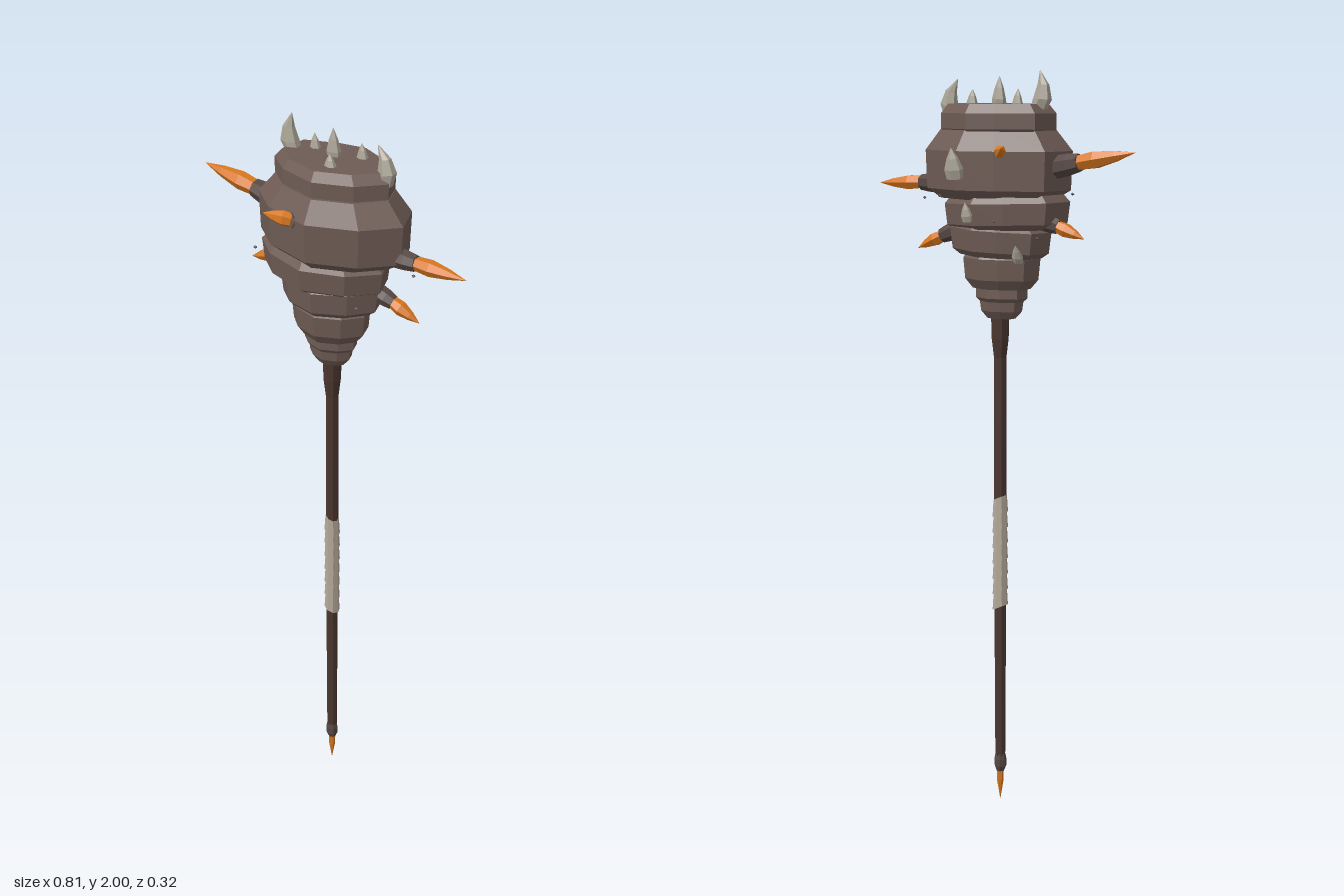
import * as THREE from 'three';

const mat = (name, color) => {
  const m = new THREE.MeshStandardMaterial({ color });
  m.name = name;
  return m;
};

export function createModel() {
  const stone = mat('brown stone', 0x6e5b54);
  const wood = mat('dark wood', 0x4b362f);
  const socketMat = mat('socket brown', 0x574843);
  const orange = mat('orange spike', 0xd9781f);
  const bone = mat('bone', 0xaaa495);
  const cloth = mat('wrap cloth', 0xb3a698);

  const model = new THREE.Group();
  model.name = 'spikedClub';

  // Adds a faceted mesh
  function add(name, geometry, material, parent = model) {
    const g = geometry.index ? geometry.toNonIndexed() : geometry;
    g.computeVertexNormals();
    const mesh = new THREE.Mesh(g, material);
    mesh.name = name;
    parent.add(mesh);
    return mesh;
  }
  const lathe = (pts, sides) =>
    new THREE.LatheGeometry(pts.map(([r, y]) => new THREE.Vector2(r, y)), sides);

  // Irregular nine-sided outline shared by the head's rings
  const outline = [[0.04, 1], [0.64, 0.64], [1, 0.07], [0.83, -0.57], [0.16, -1],
    [-0.33, -0.86], [-0.93, -0.5], [-1, 0.29], [-0.61, 0.75]];

  // Bevelled ring filling the box x0..x1, z0..z1; profile is [scale, y]
  function ring(name, [x0, x1, z0, z1], profile, tilt = 0) {
    const pts = [[0, profile[0][1]], ...profile, [0, profile[profile.length - 1][1]]];
    const g = lathe(pts, outline.length);
    const p = g.attributes.position;
    for (let i = 0; i < p.count; i++) {
      const [s, y] = pts[i % pts.length];
      const [ox, oz] = outline[Math.floor(i / pts.length) % outline.length];
      const x = (x0 + x1) / 2 + (ox * s * (x1 - x0)) / 2;
      p.setXYZ(i, x, y + x * tilt, (z0 + z1) / 2 + (oz * s * (z1 - z0)) / 2);
    }
    return add(name, g, stone);
  }

  // Head, from the collar up
  ring('headCollar', [-0.07, 0.075, -0.045, 0.06],
    [[0.55, 1.355], [0.8, 1.375], [0.85, 1.40], [1, 1.41], [1, 1.435], [0.85, 1.45]]);
  ring('headRing1', [-0.105, 0.11, -0.075, 0.09],
    [[0.75, 1.435], [0.95, 1.46], [1, 1.515], [0.85, 1.535]]);
  ring('headRing2', [-0.135, 0.15, -0.095, 0.11],
    [[0.8, 1.52], [0.95, 1.535], [1, 1.59], [0.82, 1.61]], 0.04);
  ring('headRing3', [-0.185, 0.168, -0.11, 0.135],
    [[0.78, 1.59], [0.96, 1.605], [1, 1.66], [0.84, 1.69]], -0.03);
  ring('headBulge', [-0.19, 0.225, -0.13, 0.15],
    [[0.78, 1.67], [0.98, 1.695], [1, 1.795], [0.78, 1.85]]);
  ring('headCrown', [-0.15, 0.175, -0.105, 0.112],
    [[0.85, 1.83], [1, 1.85], [1, 1.89], [0.87, 1.914]]);

  // Shaft with flared neck
  const shaftX = 0.004, shaftZ = 0.005;
  const shaft = add('shaft', lathe([[0, 0.12], [0.014, 0.12], [0.016, 0.5], [0.017, 0.9],
    [0.017, 1.25], [0.023, 1.3], [0.025, 1.37], [0, 1.37]], 8), wood);
  const ferrule = add('tipSocket', lathe([[0, 0.085], [0.011, 0.085], [0.017, 0.1],
    [0.017, 0.12], [0.014, 0.135], [0, 0.135]], 7), socketMat);
  const point = add('shaftTip', lathe([[0, 0.01], [0.009, 0.065], [0.01, 0.105], [0, 0.11]], 6), orange);
  [shaft, ferrule, point].forEach((m) => m.position.set(shaftX, m === point ? -0.01 : 0, shaftZ));

  // Slanted cloth bands around the grip
  const grip = new THREE.Group();
  grip.name = 'gripWrap';
  model.add(grip);
  for (let i = 0; i < 7; i++) {
    const g = new THREE.CylinderGeometry(0.0185, 0.0215, 0.047, 8);
    const p = g.attributes.position;
    for (let k = 0; k < p.count; k++) p.setY(k, p.getY(k) - p.getX(k) * 0.45);
    add('wrapBand', g, cloth, grip).position.set(shaftX, 0.582 + i * 0.0435, shaftZ);
  }

  // Pointed lathe from a to b, optionally bowed sideways
  function spike(name, a, b, r, material, { bend = 0, flat = 1, sides = 6 } = {}) {
    const from = new THREE.Vector3(...a), dir = new THREE.Vector3(...b).sub(from);
    const len = dir.length();
    const g = lathe([[0, 0], [r * 0.85, 0], [r, len * 0.3], [r * 0.62, len * 0.65], [0, len]], sides);
    const p = g.attributes.position;
    for (let i = 0; i < p.count; i++) {
      const t = p.getY(i) / len;
      p.setX(i, p.getX(i) + bend * 4 * t * (1 - t));
      p.setZ(i, p.getZ(i) * flat);
    }
    const mesh = add(name, g, material);
    mesh.position.copy(from);
    mesh.quaternion.setFromUnitVectors(new THREE.Vector3(0, 1, 0), dir.normalize());
  }

  // Orange side spikes in dark sockets: socket start, spike base, tip, radius
  const spikes = [
    ['rightUpperSpike', [-0.17, 1.755, 0], [-0.24, 1.768, -0.002], [-0.405, 1.797, 0], 0.024],
    ['leftUpperSpike', [0.19, 1.705, 0.005], [0.255, 1.705, 0.007], [0.40, 1.70, 0.005], 0.021],
    ['rightLowerSpike', [-0.14, 1.615, 0], [-0.178, 1.604, 0], [-0.257, 1.575, 0], 0.019],
    ['leftLowerSpike', [0.13, 1.585, -0.01], [0.175, 1.567, -0.015], [0.255, 1.53, -0.018], 0.019],
    ['frontSpike', [-0.01, 1.785, 0.1], [-0.025, 1.788, 0.132], [-0.09, 1.802, 0.163], 0.02],
  ];
  for (const [name, start, base, tip, r] of spikes) {
    const s = new THREE.Vector3(...start), d = new THREE.Vector3(...base).sub(s);
    const len = d.length();
    const socket = add(name + 'Socket',
      lathe([[0, 0], [r * 1.3, 0], [r * 1.2, len * 0.6], [r, len * 1.05], [0, len * 1.05]], 7), socketMat);
    socket.position.copy(s);
    socket.quaternion.setFromUnitVectors(new THREE.Vector3(0, 1, 0), d.normalize());
    spike(name, base, tip, r, orange);
  }
  spike('backStub', [-0.055, 1.79, -0.085], [-0.085, 1.805, -0.125], 0.018, orange);

  // Bone horns and teeth on the crown
  spike('rightHorn', [-0.115, 1.895, 0], [-0.12, 2.0, 0.002], 0.026, bone, { bend: -0.014, flat: 0.75 });
  spike('leftHorn', [0.155, 1.875, 0], [0.132, 1.978, -0.002], 0.026, bone, { bend: 0.016, flat: 0.75 });
  const teeth = [[0, -0.008, 1.985, 0.02], [-0.065, -0.02, 1.953, 0.015],
    [0.066, -0.035, 1.952, 0.016], [0.032, 0.05, 1.945, 0.017]];
  for (const [x, z, top, r] of teeth)
    spike('crownTooth', [x, 1.9, z], [x - 0.003, top, z], r, bone, { flat: 0.7 });

  // Bone shards in the back of the head
  spike('backShard', [0.05, 1.725, -0.135], [0.052, 1.805, -0.15], 0.028, bone, { flat: 0.6 });
  spike('backShard', [0.03, 1.615, -0.107], [0.032, 1.665, -0.118], 0.017, bone, { flat: 0.7 });
  spike('backShard', [-0.105, 1.515, -0.075], [-0.112, 1.56, -0.1], 0.016, bone, { flat: 0.7 });

  // Loose stone chips around the head
  const chips = [[-0.175, 1.58, -0.095], [-0.06, 1.62, -0.12], [0.11, 1.68, -0.12],
    [-0.145, 1.68, 0.125], [0.16, 1.6, 0.12], [0.245, 1.665, 0]];
  for (const [x, y, z] of chips) {
    const chip = add('stoneChip', new THREE.OctahedronGeometry(0.006), stone);
    chip.position.set(x, y, z);
    chip.scale.y = 0.7;
  }
  return model;
}
